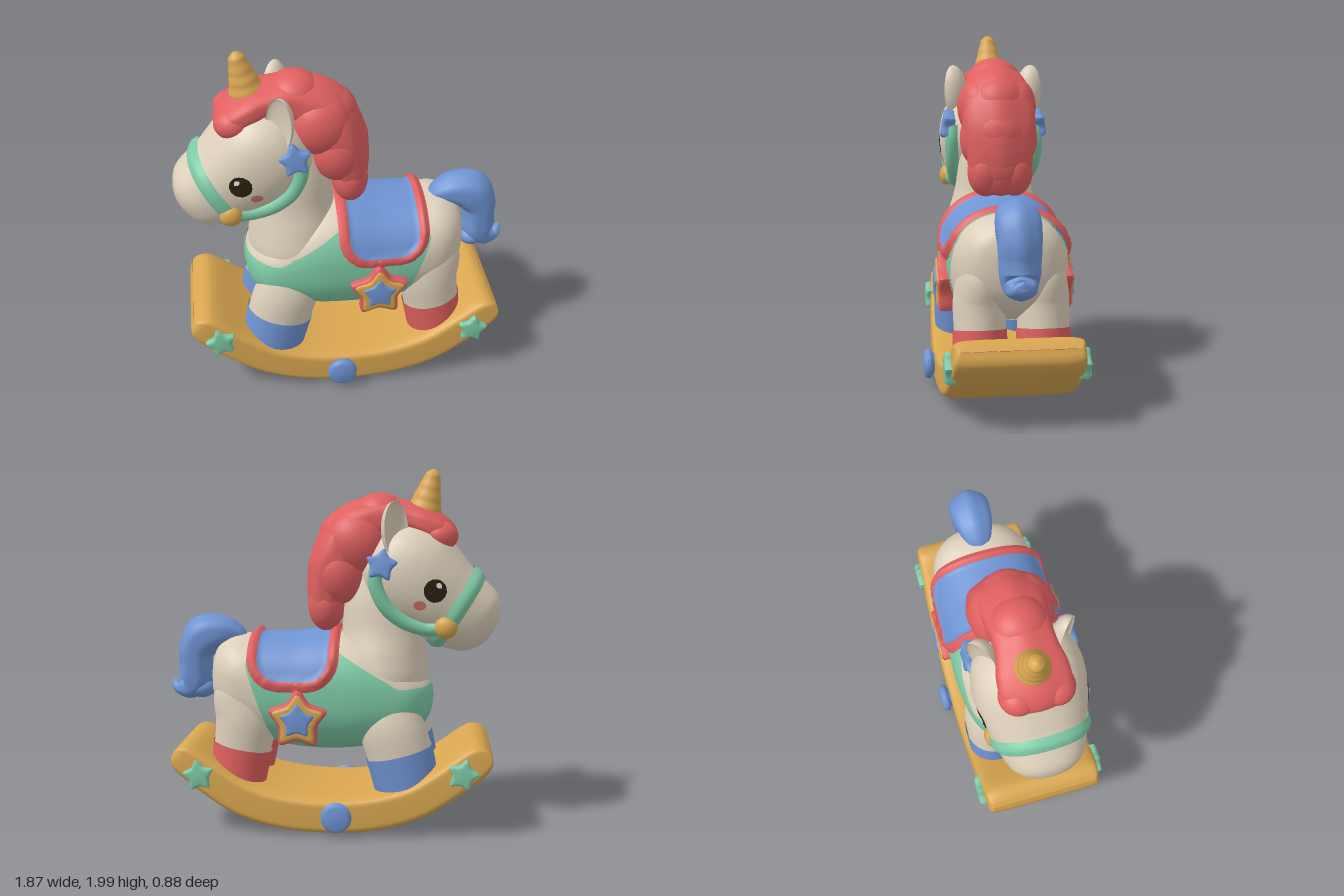
import * as THREE from 'three';
import { toCreasedNormals } from 'three/addons/utils/BufferGeometryUtils.js';

const mat = (name, color) => {
  const m = new THREE.MeshStandardMaterial({ color, side: THREE.DoubleSide });
  m.name = name;
  return m;
};

// Sweep of rounded sections; rows are [x, y, inPlaneRadius, zRadius]
function loft(rows, { angle = null, power = 2, ridge = 0, steps = 36, sides = 40 } = {}) {
  const centre = new THREE.CatmullRomCurve3(rows.map(r => new THREE.Vector3(r[0], r[1], 0)), false, 'catmullrom');
  const radius = new THREE.CatmullRomCurve3(rows.map(r => new THREE.Vector3(r[2], r[3], 0)), false, 'catmullrom');
  const pos = [], index = [];
  const sp = v => Math.sign(v) * Math.abs(v) ** (2 / power);
  for (let i = 0; i <= steps; i++) {
    const t = i / steps, c = centre.getPoint(t), r = radius.getPoint(t), d = centre.getTangent(t);
    const th = angle === null ? Math.atan2(d.y, d.x) : angle;
    for (let j = 0; j < sides; j++) {
      const a = j / sides * Math.PI * 2, k = 1 + ridge * Math.cos(6 * a);
      const u = Math.max(r.x, 0.001) * k * sp(Math.cos(a)), w = Math.max(r.y, 0.001) * k * sp(Math.sin(a));
      pos.push(c.x - Math.sin(th) * u, c.y + Math.cos(th) * u, w);
      if (i < steps) {
        const A = i * sides + j, B = i * sides + (j + 1) % sides;
        index.push(A, B, A + sides, B, B + sides, A + sides);
      }
    }
  }
  const g = new THREE.BufferGeometry();
  g.setAttribute('position', new THREE.Float32BufferAttribute(pos, 3));
  g.setIndex(index);
  g.computeVertexNormals();
  return g;
}

// Push a surface outward by a rule
function inflate(geo, amount) {
  const g = geo.clone(), p = g.attributes.position, n = geo.attributes.normal;
  for (let i = 0; i < p.count; i++) {
    const k = typeof amount === 'number' ? amount : amount(p.getX(i), p.getY(i));
    p.setXYZ(i, p.getX(i) + n.getX(i) * k, p.getY(i) + n.getY(i) * k, p.getZ(i) + n.getZ(i) * k);
  }
  g.computeVertexNormals();
  return g;
}

// Keep the part of a surface where f(x, y) > 0, cut cleanly along the border
function clip(geo, f) {
  const g = geo.toNonIndexed(), p = g.attributes.position, n = g.attributes.normal, P = [], N = [];
  for (let i = 0; i < p.count; i += 3) {
    const tri = [0, 1, 2].map(k => {
      const a = new THREE.Vector3().fromBufferAttribute(p, i + k);
      return { a, n: new THREE.Vector3().fromBufferAttribute(n, i + k), d: f(a.x, a.y) };
    });
    const out = [];
    tri.forEach((v, k) => {
      const w = tri[(k + 1) % 3];
      if (v.d > 0) out.push(v);
      if ((v.d > 0) !== (w.d > 0)) {
        const t = v.d / (v.d - w.d);
        out.push({ a: v.a.clone().lerp(w.a, t), n: v.n.clone().lerp(w.n, t) });
      }
    });
    for (let k = 1; k + 1 < out.length; k++)
      for (const v of [out[0], out[k], out[k + 1]]) { P.push(...v.a.toArray()); N.push(...v.n.toArray()); }
  }
  const r = new THREE.BufferGeometry();
  r.setAttribute('position', new THREE.Float32BufferAttribute(P, 3));
  r.setAttribute('normal', new THREE.Float32BufferAttribute(N, 3));
  return r;
}

// Puffy five-pointed star, centred, facing z
function starGeo(r, depth) {
  const pts = [];
  for (let i = 0; i < 10; i++) {
    const a = Math.PI / 2 + i * Math.PI / 5, q = i % 2 ? r * 0.67 : r;
    pts.push(new THREE.Vector3(Math.cos(a) * q, Math.sin(a) * q, 0));
  }
  const s = new THREE.Shape().setFromPoints(new THREE.CatmullRomCurve3(pts, true).getPoints(40).slice(0, 40));
  const b = Math.min(0.018, depth * 0.35);
  const g = new THREE.ExtrudeGeometry(s, { depth: depth - 2 * b, bevelSize: b, bevelThickness: b, bevelOffset: -b, bevelSegments: 3 });
  return toCreasedNormals(g.translate(0, 0, b - depth / 2), 0.7);
}

// Cupped ear: a ball whose front half is folded inward
function earGeo() {
  const g = new THREE.SphereGeometry(1, 32, 24), p = g.attributes.position;
  for (let i = 0; i < p.count; i++) if (p.getZ(i) > 0) p.setZ(i, p.getZ(i) * -0.3);
  g.computeVertexNormals();
  return g;
}

export function createModel() {
  const root = new THREE.Group();
  root.name = 'rockingUnicorn';
  const cream = mat('cream', 0xdccfba), red = mat('red', 0xe06060), blue = mat('blue', 0x6f94d3),
    gold = mat('gold', 0xd9a650), mint = mat('mint', 0x7dc9a5), dark = mat('dark', 0x2a2012),
    white = mat('white', 0xf6f2ea), cheek = mat('cheek', 0xd2766c);
  const add = (name, geo, m, x = 0, y = 0, z = 0) => {
    const o = new THREE.Mesh(geo, m);
    o.name = name;
    o.position.set(x, y, z);
    root.add(o);
    return o;
  };
  const ball = (name, m, [x, y, z, rx, ry, rz], geo = new THREE.SphereGeometry(1, 28, 18)) => {
    const o = add(name, geo, m, x, y, z);
    o.scale.set(rx, ry, rz);
    return o;
  };

  // Rocker: a curved slab with rolled ends
  add('rocker', loft([[-.885, .475, 0, .31], [-.875, .468, .045, .325], [-.85, .45, .08, .338], [-.795, .412, .098, .345],
    [-.64, .295, .102, .355], [-.46, .19, .103, .365], [-.24, .13, .104, .373], [0, .113, .103, .376], [.24, .13, .104, .373],
    [.46, .188, .103, .365], [.63, .285, .1, .355], [.775, .387, .094, .345], [.83, .425, .078, .338], [.855, .443, .045, .325],
    [.865, .45, 0, .31]], { power: 7, steps: 70, sides: 64 }), gold);

  // Torso and neck with the fitted body cover
  const torso = loft([[-.565, .74, 0, 0], [-.55, .735, .085, .12], [-.5, .725, .15, .22], [-.4, .735, .215, .29], [-.2, .765, .305, .325],
    [0, .77, .33, .325], [.2, .763, .312, .315], [.4, .78, .29, .308], [.54, .81, .265, .285], [.63, .83, .2, .22],
    [.67, .84, .12, .13], [.685, .845, 0, 0]], { angle: 0, power: 2.35, steps: 110, sides: 80 });
  const neck = loft([[-.27, .7, .27, .27], [-.275, .85, .268, .29], [-.28, .98, .248, .265], [-.285, 1.12, .23, .225],
    [-.28, 1.3, .21, .2], [-.3, 1.5, .16, .16]], { angle: Math.PI / 2, sides: 56 });
  const cover = (x, y) => Math.min(.815 + .6 * Math.max(0, x + .38) - y, .13 + .355 * y - x, .435 - x + Math.max(0, .98 - y));
  add('torso', torso, cream);
  add('neck', neck, cream);
  add('bodyCover', clip(inflate(torso, .008), cover), mint);
  add('neckCover', clip(inflate(neck, .008), cover), mint);

  // Saddle cloth with a raised trim
  const cloth = (x, y) => {
    const dx = Math.abs(x - .2) - .07, dy = .985 - y;
    return .185 - Math.hypot(Math.max(dx, 0), Math.max(dy, 0)) - Math.min(Math.max(dx, dy), 0);
  };
  const saddle = inflate(torso, (x, y) => {
    const d = cloth(x, y);
    return .012 + (d > 0 && d < .06 ? .03 * Math.sin(Math.PI * d / .06) : 0) + (d > .03 ? .008 : 0);
  });
  add('saddleTrim', clip(saddle, (x, y) => Math.min(cloth(x, y), .058 - cloth(x, y))), red);
  add('saddleCloth', clip(saddle, (x, y) => cloth(x, y) - .058), blue);

  // Legs with coloured boots
  const frontLeg = loft([[-.29, .78, .1, .08], [-.32, .68, .16, .12], [-.345, .58, .18, .145], [-.385, .45, .182, .15], [-.435, .24, .172, .145]]);
  const hindLeg = loft([[.5, .9, .1, .08], [.49, .76, .165, .12], [.475, .62, .17, .14], [.495, .46, .16, .138], [.525, .26, .15, .138]]);
  const boots = [
    ['front', frontLeg, blue, .19, (x, y) => .45 - .26 * (x + .38) - y],
    ['hind', hindLeg, red, .17, (x, y) => .47 + .2 * (x - .5) - y]];
  for (const s of [1, -1]) for (const [n, g, m, z, f] of boots) {
    add(n + 'Leg', g, cream, 0, 0, s * z);
    add(n + 'Boot', clip(inflate(g, .007), f), m, 0, 0, s * z);
  }

  // Head, running from muzzle to skull along a slanted axis
  const tilt = .57, ca = Math.cos(tilt), sa = Math.sin(tilt), mx = -.735, my = 1.21;
  const head = loft([[-.2, 0, 0, 0], [-.185, 0, .08, .085], [-.15, 0, .145, .155], [-.095, 0, .192, .205], [0, -.005, .222, .24],
    [.1, 0, .24, .262], [.2, .01, .265, .285], [.33, .025, .29, .3], [.45, .03, .275, .29], [.55, .03, .22, .25],
    [.62, .03, .13, .16], [.66, .03, 0, 0]].map(([s, v, r, rz]) => [mx + s * ca - v * sa, my + s * sa + v * ca, r, rz]),
  { angle: tilt, power: 2.25, steps: 90, sides: 72 });
  add('head', head, cream);
  const along = (x, y) => (x - mx) * ca + (y - my) * sa;
  const nose = (x, y) => .042 - Math.abs(along(x, y) - .052);
  add('noseBand', clip(inflate(head, (x, y) => .003 + .018 * Math.sqrt(Math.max(0, nose(x, y) / .042))), nose), mint);

  // Painted face, on both cheeks
  const spot = (name, m, cx, cy, rx, ry, lift) =>
    add(name, clip(inflate(head, lift), (x, y) => 1 - ((x - cx) / rx) ** 2 - ((y - cy) / ry) ** 2), m);
  spot('eyes', dark, -.572, 1.357, .062, .064, .004);
  spot('eyeShines', white, -.592, 1.385, .02, .02, .008);
  spot('eyeGlints', white, -.548, 1.335, .009, .01, .008);
  spot('cheeks', cheek, -.49, 1.277, .036, .028, .004);

  // Parts repeated on each side
  for (const s of [1, -1]) {
    const strap = new THREE.CatmullRomCurve3([[-.63, 1.15, .225], [-.52, 1.145, .21], [-.4, 1.185, .22],
      [-.3, 1.275, .238], [-.25, 1.4, .245], [-.26, 1.49, .24]].map(p => new THREE.Vector3(p[0], p[1], p[2] * s)));
    add('cheekStrap', new THREE.TubeGeometry(strap, 32, .042, 12), mint);
    ball('bridleKnob', gold, [-.633, 1.155, s * .245, .062, .062, .045]);
    add('bridleStar', starGeo(.09, .07), blue, -.283, 1.49, s * .265).rotation.set(s * -.15, 0, .15);
    ball('ear', cream, [-.36, 1.675, s * .225, .085, .158, .08], earGeo())
      .rotation.set(0, s > 0 ? -.75 : .75 - Math.PI, s * -.08);

    // Hanging saddle badge
    add('badgeStrap', new THREE.CapsuleGeometry(.026, .09, 6, 14), red, .17, .79, s * .325);
    add('badgeBase', starGeo(.168, .085), red, .165, .65, s * .328);
    add('badgeStar', starGeo(.148, .06), gold, .165, .65, s * .35);
    add('badgeCentre', starGeo(.098, .04), blue, .165, .65, s * .37);

    // Rocker ornaments
    add('rockerStar', starGeo(.088, .07), mint, -.735, .365, s * .345).rotation.z = .25;
    add('rockerStar', starGeo(.088, .07), mint, .715, .33, s * .345).rotation.z = -.15;
    const knob = new THREE.LatheGeometry([[.05, 0], [.06, .04], [.08, .045], [.085, .06], [.08, .08], [.06, .09], [0, .095]]
      .map(p => new THREE.Vector2(...p)), 32);
    add('rockerKnob', knob, blue, -.05, .125, s * .345).rotation.x = s * Math.PI / 2;
  }

  // Mane: one soft body from forelock to shoulder, with swelling locks
  add('mane', loft([[-.685, 1.59, 0, 0], [-.665, 1.605, .05, .11], [-.6, 1.655, .085, .185], [-.5, 1.71, .09, .19], [-.4, 1.74, .09, .165],
    [-.27, 1.73, .125, .165], [-.12, 1.65, .16, .195], [-.03, 1.51, .15, .212], [.015, 1.36, .13, .195], [.045, 1.23, .09, .17],
    [.065, 1.14, .045, .1], [.07, 1.115, 0, 0]], { ridge: .03, steps: 60 }), red);
  [[-.26, 1.745, .15, .13, .155], [-.08, 1.63, .16, .15, .16], [.005, 1.46, .135, .16, .165], [.04, 1.28, .1, .15, .15]]
    .forEach(([x, y, ...r]) => ball('maneLock', red, [x, y, 0, ...r]));
  [[-.13, 1.6, .1, .17, .17, .125], [-.04, 1.43, .1, .14, .17, .12], [.03, 1.25, .08, .1, .14, .105], [-.59, 1.64, .1, .105, .085, .1]]
    .forEach(([x, y, z, ...r]) => [1, -1].forEach(s => ball('maneLock', red, [x, y, z * s, ...r])));

  // Softly ringed horn
  const prof = [];
  for (let i = 0; i <= 40; i++) {
    const t = i / 40;
    prof.push(new THREE.Vector2((.112 - .08 * t) * (1 + .022 * Math.sin(t * 30)) * Math.sqrt(Math.min(1, (1 - t) / .1)), t * .29));
  }
  add('horn', new THREE.LatheGeometry(prof, 28), gold, -.495, 1.72, 0).rotation.z = .23;

  // Curled tail
  add('tail', loft([[.5, 1.04, .03, .05], [.56, 1.07, .065, .085], [.64, 1.085, .095, .11], [.73, 1.06, .12, .12], [.785, .98, .1, .115],
    [.79, .89, .092, .11], [.795, .81, .098, .105], [.83, .765, .072, .09], [.885, .765, .045, .065], [.91, .79, .025, .04], [.925, .81, 0, 0]],
  { ridge: .03, steps: 60 }), blue);
  ball('tailCurl', blue, [.755, .76, 0, .08, .058, .09]);

  return root;
}
